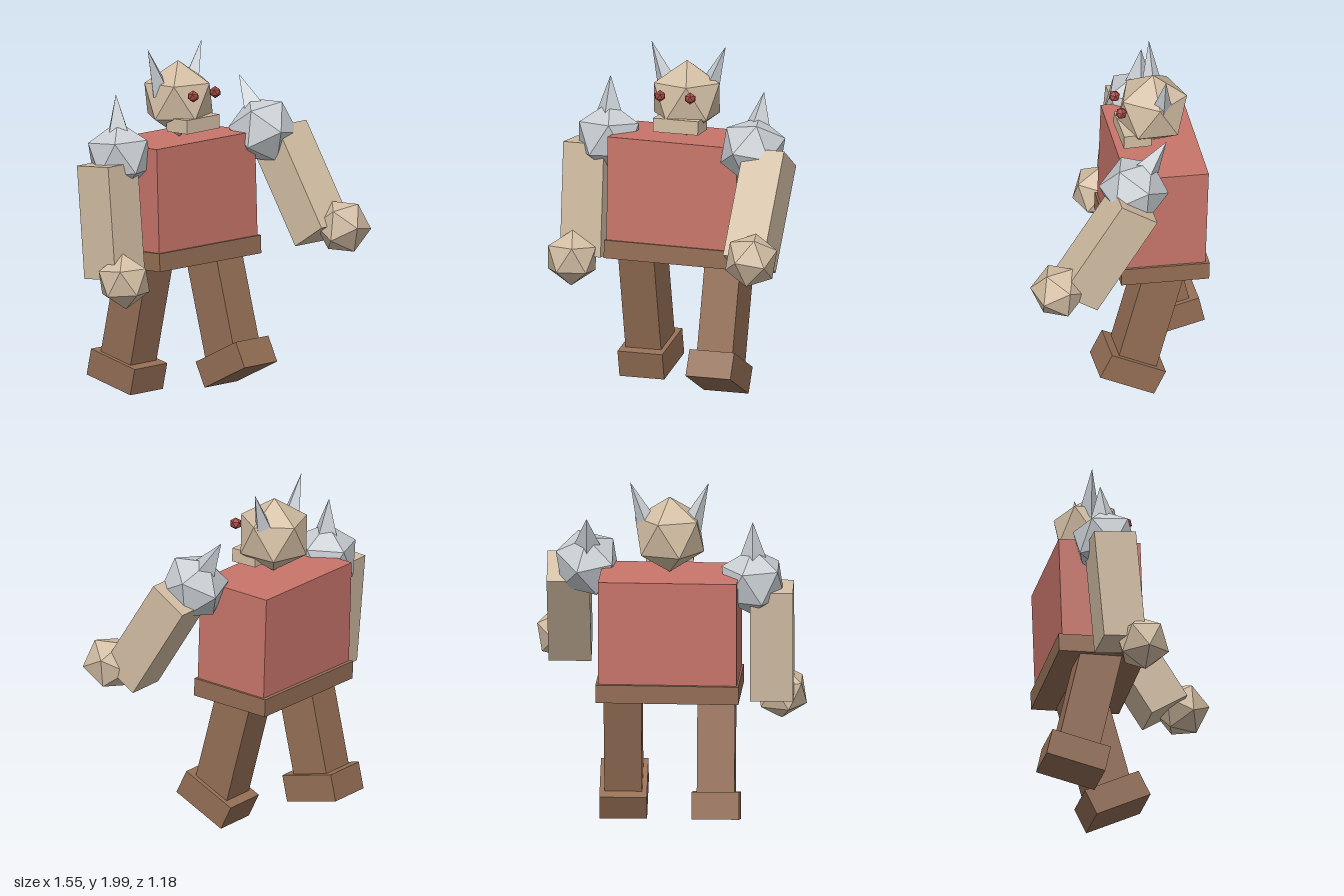
import * as THREE from 'three';

const material = (name, color) => {
  const m = new THREE.MeshStandardMaterial({ color, flatShading: true });
  m.name = name;
  return m;
};

export function createModel() {
  const clay = material('tan clay', 0xd3bea4);
  const red = material('red tunic', 0xc8756a);
  const brown = material('brown leather', 0x956f56);
  const steel = material('pale steel', 0xc9ced3);
  const crimson = material('crimson eye', 0xa84a45);

  const model = new THREE.Group();
  model.name = 'golem';

  const add = (parent, name, geometry, mat, position, rotation = [0, 0, 0]) => {
    const mesh = new THREE.Mesh(geometry, mat);
    mesh.name = name;
    mesh.position.set(...position);
    mesh.rotation.set(...rotation);
    parent.add(mesh);
    return mesh;
  };
  const box = (w, h, d) => new THREE.BoxGeometry(w, h, d);

  // Twenty-sided boulder standing on one corner
  const boulder = (r) => new THREE.IcosahedronGeometry(r, 0)
    .rotateZ(Math.PI / 2 - Math.atan2((1 + Math.sqrt(5)) / 2, 1))
    .rotateY(Math.PI);

  // Four-sided spike with its tip at the origin
  const spike = (r, h) => new THREE.ConeGeometry(r, h, 4).translate(0, -h / 2, 0);

  // Trunk, turned and leaning back slightly
  const lean = [-0.033, -0.03, 0];
  add(model, 'torso', box(0.79, 0.6, 0.475), red, [-0.002, 1.168, -0.25], lean);
  add(model, 'belt', box(0.815, 0.105, 0.51), brown, [0, 0.816, -0.243], lean);

  // Head
  const head = new THREE.Group();
  head.name = 'head';
  head.position.set(0, 1.69, -0.245);
  head.rotation.x = -0.02;
  model.add(head);
  add(head, 'skull', boulder(0.22), clay, [0, 0, 0]);
  add(head, 'jaw', box(0.27, 0.08, 0.16), clay, [0, -0.13, 0.112]);
  for (const s of [1, -1]) {
    const side = s > 0 ? 'left' : 'right';
    add(head, side + 'Eye', boulder(0.035), crimson, [s * 0.091, 0.045, 0.202]);
    add(head, side + 'Horn', spike(0.065, 0.28), steel, [s * 0.224, 0.31, -0.024], [0, 0, -s * 0.38]);
  }

  // Arms swing from the shoulders: the left one forward, the right one hanging
  const arm = (side, s, y, z, swing) => {
    const group = new THREE.Group();
    group.name = side + 'Arm';
    group.position.set(s * 0.475, y, z);
    group.rotation.set(swing, 0, 0);
    model.add(group);
    add(group, side + 'ShoulderGuard', boulder(0.2), steel, [0, 0, 0]);
    add(group, side + 'ShoulderSpike', spike(0.11, 0.31), steel, [0, 0.355, 0]);
    add(group, side + 'Forearm', box(0.245, 0.65, 0.245), clay, [s * 0.108, -0.355, 0]);
    add(group, side + 'Fist', boulder(0.16), clay, [s * 0.158, -0.695, 0.12]);
  };
  arm('left', 1, 1.47, -0.03, -0.57);
  arm('right', -1, 1.42, -0.255, -0.09);

  // Legs in mid stride
  const leg = (side, x, hipZ, swing, footY, footZ, footTilt) => {
    const group = new THREE.Group();
    group.name = side + 'Leg';
    group.position.set(x, 0.77, hipZ);
    group.rotation.x = swing;
    model.add(group);
    add(group, side + 'Shin', box(0.215, 0.64, 0.238), brown, [0, -0.28, 0]);
    add(model, side + 'Foot', box(0.27, 0.157, 0.35), brown, [x, footY, footZ], [footTilt, 0, 0]);
  };
  leg('left', 0.266, -0.225, -0.265, 0.153, -0.043, -0.46);
  leg('right', -0.27, -0.257, 0.22, 0.14, -0.394, 0.22);

  return model;
}
